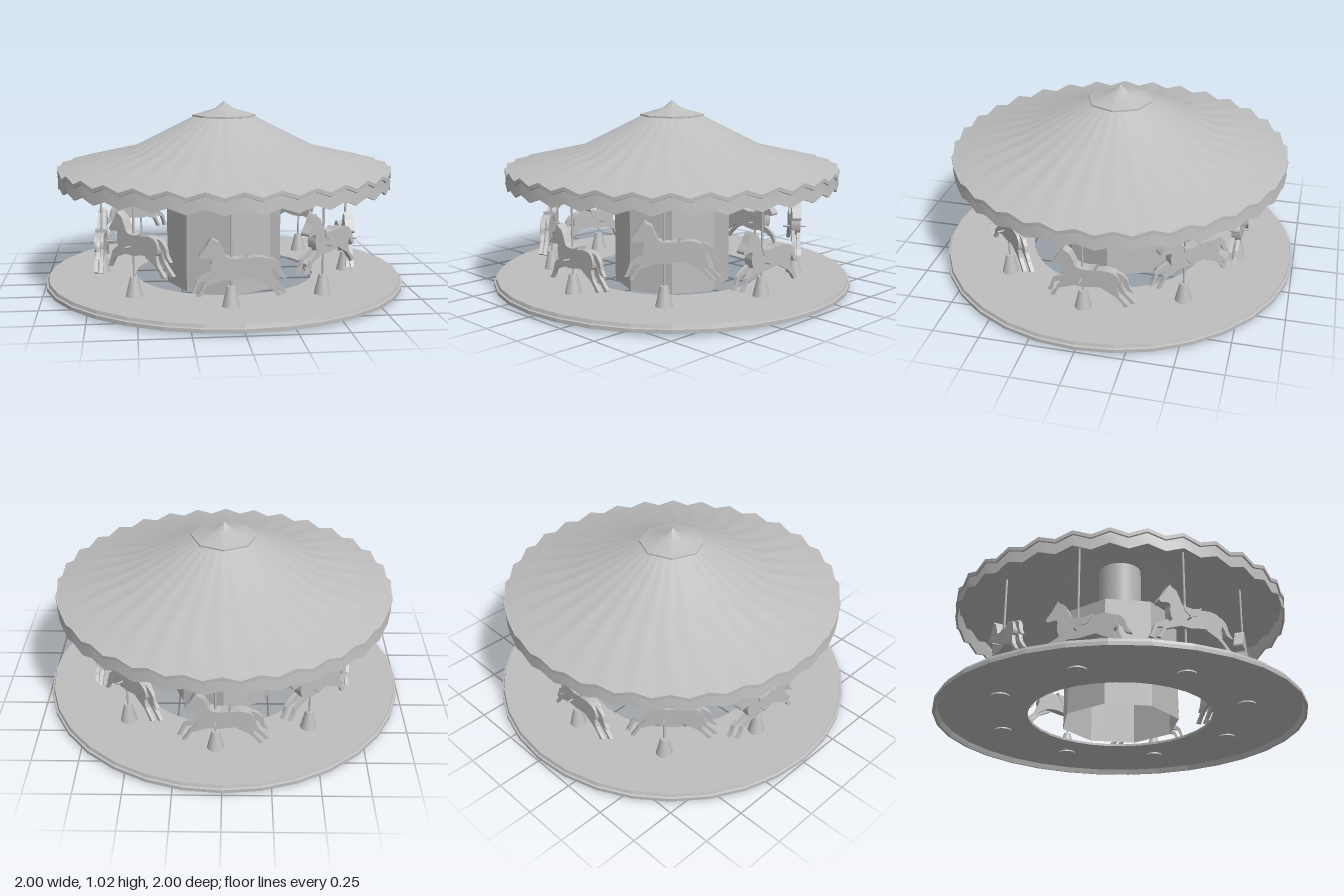
import * as THREE from 'three';

const grey = new THREE.MeshStandardMaterial({ color: 0xbebebe, side: THREE.DoubleSide });
grey.name = 'stone grey';

function add(parent, name, geometry, x = 0, y = 0, z = 0) {
  const mesh = new THREE.Mesh(geometry, grey);
  mesh.name = name;
  mesh.position.set(x, y, z);
  parent.add(mesh);
  return mesh;
}

function lathe(profile, sides) {
  return new THREE.LatheGeometry(profile.map(([r, y]) => new THREE.Vector2(r, y)), sides);
}

// Gives every face its own flat normal
function faceted(geometry) {
  const g = geometry.toNonIndexed();
  g.computeVertexNormals();
  return g;
}

// Ring surface from [radius, height, wave] sections; the wave pleats it up and down
const PLEATS = 32;
function pleated(sections) {
  const n = PLEATS * 2, pos = [], idx = [];
  sections.forEach(([r, y, wave], i) => {
    for (let k = 0; k < n; k++) {
      const a = (k / n) * Math.PI * 2;
      const odd = k % 2;
      const rr = odd ? r * Math.cos(Math.PI / PLEATS) : r;
      pos.push(rr * Math.sin(a), y + (odd ? -wave : wave), rr * Math.cos(a));
      if (i < sections.length - 1) {
        const k2 = (k + 1) % n, p = i * n, q = p + n;
        idx.push(p + k, q + k, q + k2, p + k, q + k2, p + k2);
      }
    }
  });
  const g = new THREE.BufferGeometry();
  g.setAttribute('position', new THREE.Float32BufferAttribute(pos, 3));
  g.setIndex(idx);
  g.computeVertexNormals();
  return g;
}

// Flat cut-out of an outline, centred on z
function plate(points, depth, smooth = false) {
  const v = points.map(([x, y]) => new THREE.Vector2(x, y));
  const shape = new THREE.Shape();
  if (smooth) {
    shape.moveTo(v[0].x, v[0].y);
    shape.splineThru([...v.slice(1), v[0]]);
  } else shape.setFromPoints(v);
  const g = new THREE.ExtrudeGeometry(shape, { depth, bevelEnabled: false, curveSegments: 40 });
  return g.translate(0, 0, -depth / 2);
}

const BODY = [
  [-0.096, 0.407], [-0.085, 0.393], [-0.062, 0.38], [-0.044, 0.345], [-0.022, 0.305],
  [0.03, 0.292], [0.075, 0.3], [0.13, 0.308], [0.18, 0.296], [0.2, 0.262], [0.195, 0.222],
  [0.15, 0.203], [0.09, 0.204], [0.02, 0.192], [-0.05, 0.196], [-0.088, 0.22],
  [-0.1, 0.26], [-0.098, 0.296], [-0.115, 0.303], [-0.148, 0.298], [-0.158, 0.315],
  [-0.128, 0.355], [-0.11, 0.388],
];
const TAIL = [[0.175, 0.3], [0.21, 0.294], [0.24, 0.265], [0.252, 0.225], [0.274, 0.192],
  [0.24, 0.205], [0.222, 0.238], [0.195, 0.27]];
const SADDLE = [[-0.024, 0.312], [-0.012, 0.303], [0.03, 0.299], [0.066, 0.306], [0.08, 0.318],
  [0.078, 0.295], [0.055, 0.262], [0.012, 0.258], [-0.018, 0.28]];
const FORELEGS = [
  [[-0.04, 0.235], [-0.085, 0.235], [-0.15, 0.202], [-0.172, 0.183], [-0.184, 0.145],
    [-0.2, 0.116], [-0.176, 0.114], [-0.169, 0.145], [-0.153, 0.176], [-0.06, 0.195]],
  [[-0.03, 0.22], [-0.085, 0.22], [-0.135, 0.172], [-0.15, 0.14], [-0.172, 0.108],
    [-0.15, 0.108], [-0.136, 0.137], [-0.12, 0.162], [-0.04, 0.192]],
];
const HINDLEGS = [
  [[0.13, 0.25], [0.195, 0.25], [0.212, 0.2], [0.222, 0.178], [0.252, 0.148],
    [0.28, 0.12], [0.258, 0.11], [0.236, 0.138], [0.2, 0.17], [0.14, 0.204]],
  [[0.11, 0.24], [0.185, 0.24], [0.192, 0.195], [0.2, 0.17], [0.225, 0.142],
    [0.25, 0.116], [0.228, 0.106], [0.21, 0.134], [0.176, 0.166], [0.11, 0.2]],
];

function createHorse() {
  const horse = new THREE.Group();
  horse.name = 'horse';
  add(horse, 'body', plate(BODY, 0.05, true));
  add(horse, 'tail', plate(TAIL, 0.02, true));
  add(horse, 'saddle', plate(SADDLE, 0.058));
  // One leg of each pair per side
  [-1, 1].forEach((side, i) => {
    add(horse, 'foreleg', plate(FORELEGS[i], 0.02), 0, 0, side * 0.015);
    add(horse, 'hindLeg', plate(HINDLEGS[i], 0.02), 0, 0, side * 0.015);
  });
  const bar = add(horse, 'footrest', new THREE.CylinderGeometry(0.005, 0.005, 0.125, 8), 0, 0.235, 0);
  bar.rotation.x = Math.PI / 2;
  return horse;
}

export function createModel() {
  const carousel = new THREE.Group();
  carousel.name = 'carousel';

  // Thin ring deck with a deeper stepped rim
  add(carousel, 'platform', faceted(lathe([
    [0.5, 0.04], [0.975, 0.04], [0.985, 0.012], [1, 0.014], [1, 0.033], [0.99, 0.036],
    [0.985, 0.053], [0.5, 0.053], [0.5, 0.04],
  ], 32)));

  // Eight-sided core, open below, and the drum above it
  add(carousel, 'centreColumn', faceted(lathe([[0.322, 0], [0.322, 0.6], [0.12, 0.6]], 8)));
  add(carousel, 'upperDrum', new THREE.CylinderGeometry(0.12, 0.12, 0.33, 32, 1, true), 0, 0.765, 0);

  // Pleated roof and zigzag valance
  const roof = new THREE.Group();
  roof.name = 'roof';
  carousel.add(roof);
  add(roof, 'canopy', pleated([[0.12, 0.93, 0], [0.17, 0.936, 0], [0.52, 0.757, 0.003], [0.912, 0.655, 0.015]]));
  add(roof, 'rimTop', pleated([[0.912, 0.655, 0.015], [0.924, 0.652, 0.015]]));
  add(roof, 'rimBand', pleated([[0.924, 0.652, 0.015], [0.924, 0.632, 0.015]]));
  add(roof, 'rimStep', pleated([[0.924, 0.632, 0.015], [0.916, 0.63, 0.015]]));
  add(roof, 'valance', pleated([[0.916, 0.63, 0.015], [0.922, 0.568, 0.015]]));
  add(roof, 'valanceHem', pleated([[0.922, 0.568, 0.015], [0.91, 0.568, 0.015]]));
  add(roof, 'valanceLining', pleated([[0.91, 0.568, 0.015], [0.908, 0.652, 0.015]]));
  add(roof, 'finialEdge', faceted(lathe([[0.12, 0.937], [0.177, 0.937], [0.177, 0.945]], 8)));
  add(roof, 'finial', lathe([[0.177, 0.945], [0.052, 0.98], [0, 1.022]], 8));

  // Eight riders' posts, alternately low and high
  for (let i = 0; i < 8; i++) {
    const angle = (i * Math.PI) / 4 - 0.052;
    const station = new THREE.Group();
    station.name = 'horseStation';
    station.position.set(0.69 * Math.sin(angle), 0, 0.69 * Math.cos(angle));
    station.rotation.y = angle;
    add(station, 'postBase', new THREE.CylinderGeometry(0.021, 0.05, 0.124, 20), 0, 0.094, 0);
    add(station, 'pole', new THREE.CylinderGeometry(0.006, 0.006, 0.62, 8), 0, 0.4, 0);
    const horse = createHorse();
    horse.position.y = i % 2 ? 0.082 : 0;
    station.add(horse);
    carousel.add(station);
  }
  return carousel;
}
